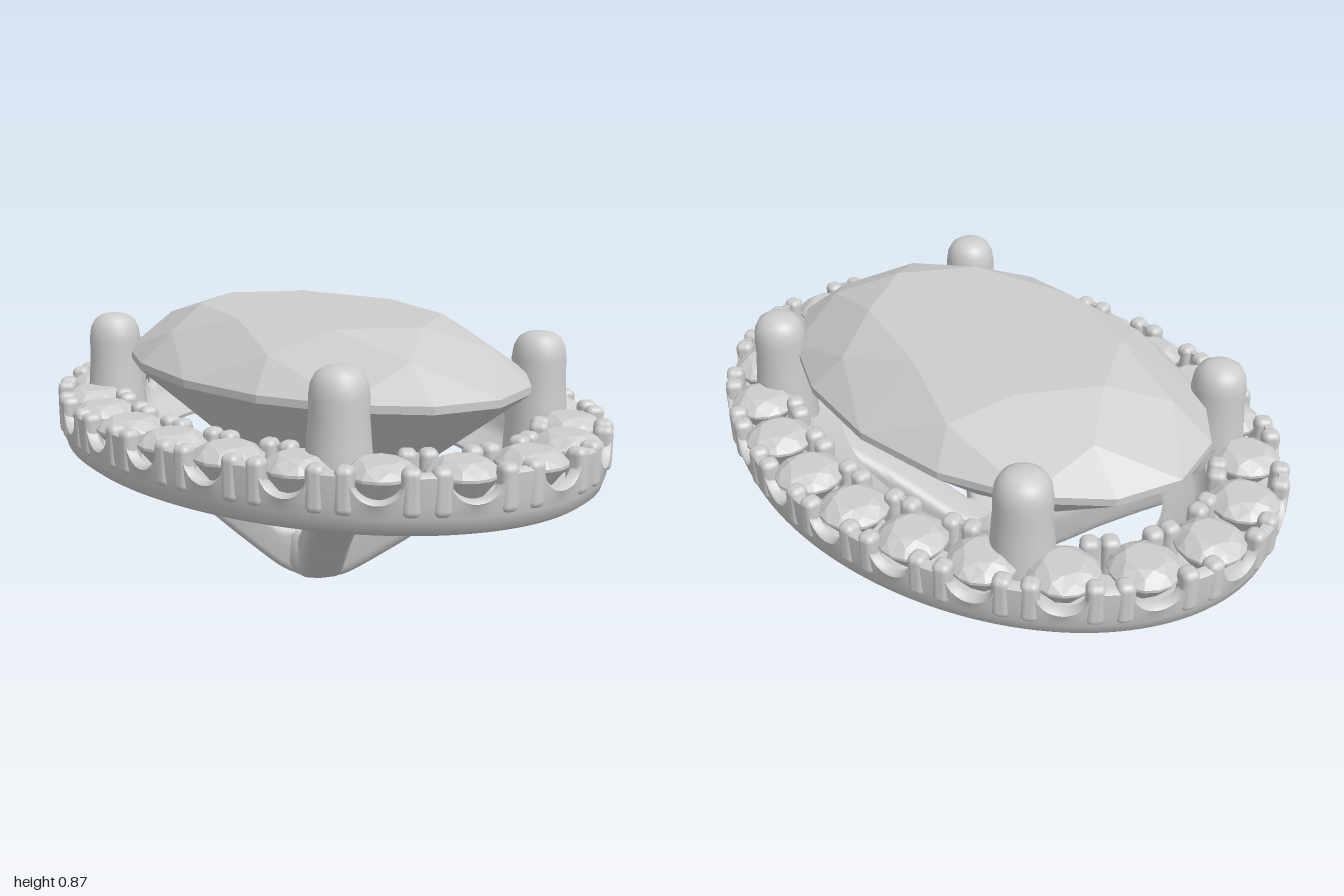
import * as THREE from 'three';
import { toCreasedNormals } from 'three/addons/utils/BufferGeometryUtils.js';
import { RoundedBoxGeometry } from 'three/addons/geometries/RoundedBoxGeometry.js';

const STONES = 22;
const TAU = Math.PI * 2;

// Centre line of the halo: curve x is world z, curve y is world x
const halo = new THREE.EllipseCurve(0, 0, 0.88, 0.63, 0, TAU);
halo.arcLengthDivisions = 800;

// Point on the halo with its outward direction
function haloFrame(u) {
  u = ((u % 1) + 1) % 1;
  const p = halo.getPointAt(u), t = halo.getTangentAt(u);
  return { x: p.y, z: p.x, nx: -t.x, nz: t.y };
}

// Swept halo band whose upper rims dip in a scallop beside every stone
function bandGeometry() {
  const profile = (top) => [
    [0.05, 0.42], [0.075, 0.424], [0.095, 0.44], [0.106, 0.475], [0.112, 0.51],
    [0.115, top - 0.008], [0.107, top], [0.085, top], [0.075, 0.5],
    [-0.075, 0.5], [-0.085, top], [-0.107, top], [-0.115, top - 0.008],
    [-0.12, 0.5], [-0.15, 0.47], [-0.22, 0.445], [-0.238, 0.432], [-0.235, 0.42],
  ];
  const n = STONES * 20, m = profile(0).length, pos = [], idx = [];
  for (let i = 0; i < n; i++) {
    const f = haloFrame(i / n);
    const s = (i / n) * STONES, d = (s - Math.round(s)) / 0.29;
    const top = 0.595 - 0.073 * Math.sqrt(Math.max(0, 1 - d * d));
    for (const [o, y] of profile(top)) pos.push(f.x + f.nx * o, y, f.z + f.nz * o);
    for (let j = 0; j < m; j++) {
      const a = i * m + j, b = ((i + 1) % n) * m + j;
      const a2 = i * m + (j + 1) % m, b2 = ((i + 1) % n) * m + (j + 1) % m;
      idx.push(a, b, b2, a, b2, a2);
    }
  }
  const g = new THREE.BufferGeometry();
  g.setAttribute('position', new THREE.Float32BufferAttribute(pos, 3));
  g.setIndex(idx);
  return toCreasedNormals(g, 0.8);
}

// Faceted oval brilliant; each level is [x radius, z radius, y]
function gemGeometry({ table, crown, girdleTop, girdleBottom, pavilion, culet }) {
  const pos = [];
  const at = ([rx, rz, y], k) => {
    const a = (k * TAU) / 16;
    return new THREE.Vector3(rx * Math.sin(a), y, rz * Math.cos(a));
  };
  const centre = new THREE.Vector3(0, girdleTop[2], 0);
  const tri = (a, b, c) => {
    const nrm = b.clone().sub(a).cross(c.clone().sub(a));
    const mid = a.clone().add(b).add(c).divideScalar(3).sub(centre);
    for (const v of nrm.dot(mid) < 0 ? [a, c, b] : [a, b, c]) pos.push(v.x, v.y, v.z);
  };
  const tip = new THREE.Vector3(0, culet, 0), flat = new THREE.Vector3(0, table[2], 0);
  for (let k = 0; k < 16; k += 2) {
    const t0 = at(table, k), t1 = at(table, k + 2);
    const m0 = at(crown, k - 1), m1 = at(crown, k + 1);
    const g0 = at(girdleTop, k), g1 = at(girdleTop, k + 1), g2 = at(girdleTop, k + 2);
    const b0 = at(girdleBottom, k), b1 = at(girdleBottom, k + 1), b2 = at(girdleBottom, k + 2);
    const p0 = at(pavilion, k - 1), p1 = at(pavilion, k + 1);
    tri(flat, t0, t1);                      // table
    tri(t0, t1, m1);                        // star
    tri(t0, m0, g0); tri(t0, g0, m1);       // kite
    tri(m1, g0, g1); tri(m1, g1, g2);       // upper halves
    tri(g0, g1, b1); tri(g0, b1, b0);       // girdle
    tri(g1, g2, b2); tri(g1, b2, b1);
    tri(p1, b0, b1); tri(p1, b1, b2);       // lower halves
    tri(p0, p1, b0); tri(p0, p1, tip);      // pavilion mains
  }
  const g = new THREE.BufferGeometry();
  g.setAttribute('position', new THREE.Float32BufferAttribute(pos, 3));
  g.computeVertexNormals();
  return g;
}

// Side outline of a basket arm, extruded to its width with rounded edges
function armGeometry() {
  const v = (x, y) => new THREE.Vector2(x, y);
  const s = new THREE.Shape();
  s.moveTo(-0.04, 0);
  s.lineTo(0.05, 0);
  s.splineThru([v(0.12, 0.025), v(0.26, 0.12), v(0.4, 0.22), v(0.62, 0.35), v(0.82, 0.42)]);
  s.lineTo(0.82, 0.47);
  s.lineTo(0.62, 0.48);
  s.splineThru([v(0.53, 0.42), v(0.31, 0.3), v(0.1, 0.165)]);
  s.lineTo(-0.04, 0.155);
  s.closePath();
  const g = new THREE.ExtrudeGeometry(s, {
    depth: 0.08, bevelThickness: 0.03, bevelSize: 0.03, bevelOffset: -0.03,
    bevelSegments: 4, curveSegments: 6,
  });
  g.translate(0, 0, -0.04);
  return toCreasedNormals(g, 0.7);
}

export function createModel() {
  const model = new THREE.Group();
  const silver = new THREE.MeshStandardMaterial({ color: 0xcccccc });
  silver.name = 'silver grey';
  const add = (parent, geometry, name) => {
    const mesh = new THREE.Mesh(geometry, silver);
    mesh.name = name;
    parent.add(mesh);
    return mesh;
  };
  const group = (name) => {
    const g = new THREE.Group();
    g.name = name;
    model.add(g);
    return g;
  };

  add(model, bandGeometry(), 'haloBand');

  add(model, gemGeometry({
    table: [0.31, 0.46, 0.873], crown: [0.42, 0.63, 0.81],
    girdleTop: [0.51, 0.765, 0.715], girdleBottom: [0.51, 0.765, 0.692],
    pavilion: [0.22, 0.41, 0.425], culet: 0.255,
  }), 'centreStone');

  // Small stones around the halo, with paired beads between them
  const stones = group('haloStones'), beads = group('haloBeads');
  const stoneGeo = gemGeometry({
    table: [0.055, 0.058, 0.605], crown: [0.08, 0.083, 0.593],
    girdleTop: [0.1, 0.102, 0.573], girdleBottom: [0.1, 0.102, 0.565],
    pavilion: [0.05, 0.05, 0.5], culet: 0.46,
  });
  const beadGeo = new RoundedBoxGeometry(0.052, 0.13, 0.056, 3, 0.02);
  for (let k = 0; k < STONES; k++) {
    const f = haloFrame(k / STONES);
    const stone = add(stones, stoneGeo, 'haloStone');
    stone.position.set(f.x, 0, f.z);
    stone.rotation.y = Math.atan2(f.nx, f.nz);
    for (const side of [-1, 1]) {
      const b = haloFrame((k + 0.5 + side * 0.155) / STONES);
      for (const offset of [-0.09, 0.09]) {
        const bead = add(beads, beadGeo, 'haloBead');
        bead.position.set(b.x + b.nx * offset, 0.545, b.z + b.nz * offset);
        bead.rotation.y = Math.atan2(b.nx, b.nz);
      }
    }
  }

  // Four claws holding the centre stone, each above a basket arm
  const claws = group('claws'), basket = group('basket');
  const clawGeo = new THREE.LatheGeometry([
    [0.1, 0.44], [0.096, 0.54], [0.087, 0.63], [0.082, 0.7], [0.082, 0.75], [0.077, 0.785],
    [0.063, 0.812], [0.042, 0.826], [0.02, 0.831], [0, 0.832],
  ].map(([x, y]) => new THREE.Vector2(x, y)), 32);
  const armGeo = armGeometry();
  for (const sx of [-1, 1]) {
    for (const sz of [-1, 1]) {
      add(claws, clawGeo, 'claw').position.set(sx * 0.4, 0, sz * 0.56);
      add(basket, armGeo, 'basketArm').rotation.y = Math.atan2(-sz * 0.56, sx * 0.4);
    }
  }

  // Rounded joint where the arms meet
  const hub = new THREE.LatheGeometry([
    [0, 0], [0.07, 0], [0.095, 0.015], [0.105, 0.05], [0.1, 0.14], [0.085, 0.155], [0, 0.155],
  ].map(([x, y]) => new THREE.Vector2(x, y)), 32);
  add(basket, toCreasedNormals(hub, 0.8), 'basketHub');

  return model;
}
